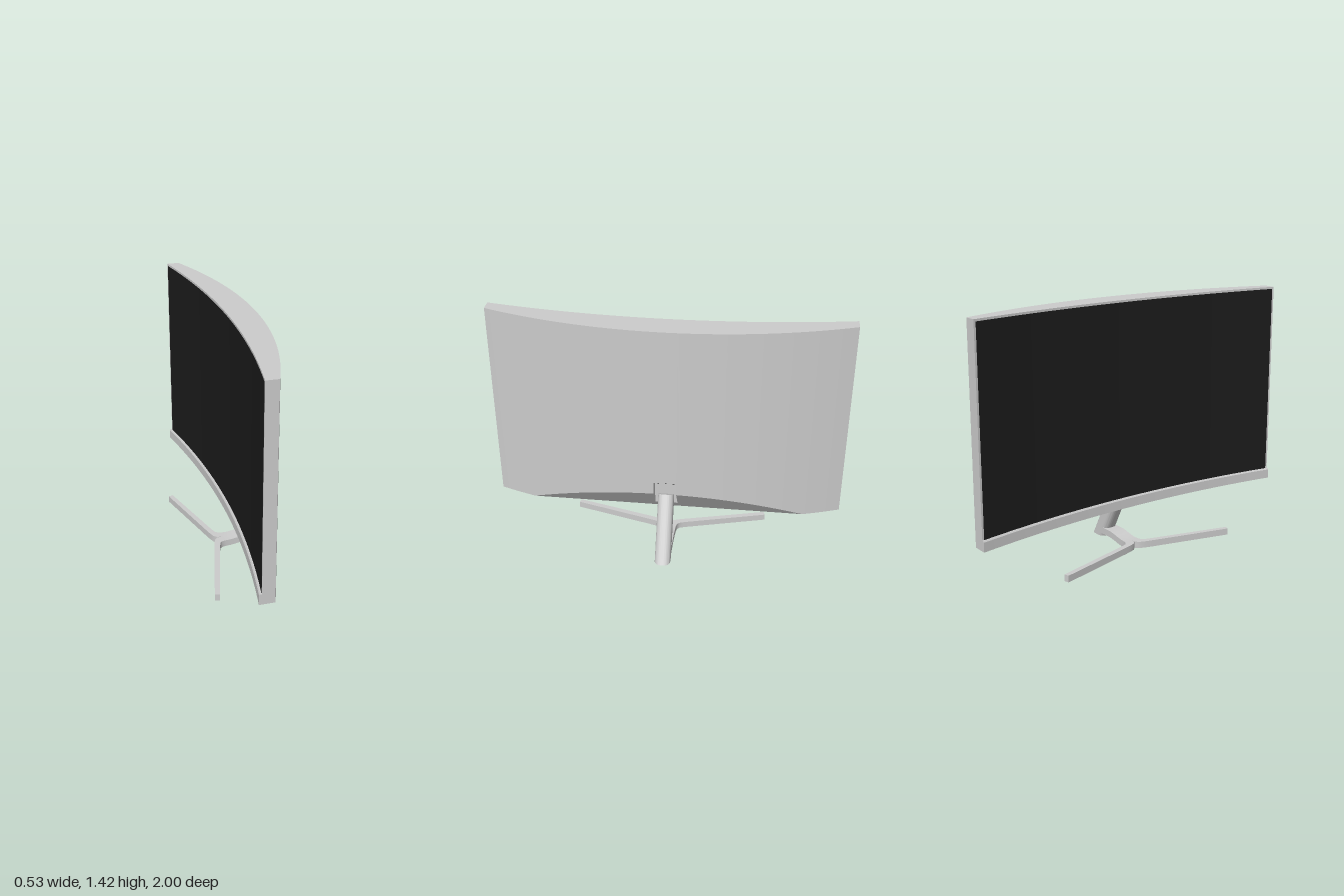
import * as THREE from 'three';
import { toCreasedNormals } from 'three/addons/utils/BufferGeometryUtils.js';

const grey = new THREE.MeshStandardMaterial({ color: 0xcccccc });
const dark = new THREE.MeshStandardMaterial({ color: 0x1c1c1c });
const black = new THREE.MeshStandardMaterial({ color: 0x000000 });

// Joins a row of equal cross-sections; smooth lengthwise, sharp between sides, closed ends.
function loft(rings, flip = false) {
  const pos = [], idx = [];
  const n = rings[0].length;
  const tri = (a, b, c) => (flip ? idx.push(a, c, b) : idx.push(a, b, c));
  for (let j = 0; j < n; j++) {
    const base = pos.length / 3;
    rings.forEach((ring) => pos.push(...ring[j], ...ring[(j + 1) % n]));
    for (let i = 0; i < rings.length - 1; i++) {
      const a = base + i * 2;
      tri(a, a + 1, a + 3);
      tri(a, a + 3, a + 2);
    }
  }
  [rings[0], rings[rings.length - 1]].forEach((ring, end) => {
    const base = pos.length / 3;
    ring.forEach((p) => pos.push(...p));
    for (let k = 1; k < n - 1; k++) {
      if (end) tri(base, base + k, base + k + 1);
      else tri(base, base + k + 1, base + k);
    }
  });
  const g = new THREE.BufferGeometry();
  g.setAttribute('position', new THREE.Float32BufferAttribute(pos, 3));
  g.setIndex(idx);
  g.computeVertexNormals();
  return g;
}

// Sweeps a profile of [x, y] points, which may vary with z, from z0 to z1.
function sweepZ(profile, z0, z1, steps) {
  const rings = [];
  for (let i = 0; i <= steps; i++) {
    const z = z0 + ((z1 - z0) * i) / steps;
    rings.push(profile(z).map(([x, y]) => [x, y, z]));
  }
  return loft(rings);
}

// Arc in plan: x at depth z for a given centre x and sagitta at z = 1
const arc = (x0, sag) => (z) => {
  const r = (1 + sag * sag) / (2 * sag);
  return x0 - r + Math.sqrt(r * r - z * z);
};
const frontX = arc(-0.05, 0.09);
const backX = arc(0.11, 0.18);
const BOTTOM = 0.24, TOP = 1.42, NOTCH = 0.065;

// Housing section with the sloping cut at the lower back
function housingProfile(z) {
  const f = frontX(z), b = backX(z);
  const cut = BOTTOM + Math.max(0, b) * 1.41;
  return [[f, BOTTOM], [Math.min(0, b), BOTTOM], [b, cut], [b, TOP], [f, TOP]];
}

// Housing section through the notch that receives the stand
function notchProfile(z) {
  const f = frontX(z), b = backX(z);
  return [[f, BOTTOM], [0, BOTTOM], [0.03, 0.282], [0.03, 0.47], [b, 0.47], [b, TOP], [f, TOP]];
}

function bezelProfile(z) {
  const f = frontX(z);
  return [[f - 0.015, BOTTOM], [f + 0.005, BOTTOM], [f + 0.005, 0.3], [f - 0.01, 0.3], [f - 0.015, 0.293]];
}

function screenProfile(z) {
  const f = frontX(z);
  return [[f - 0.002, 0.3], [f + 0.003, 0.3], [f + 0.003, 1.408], [f - 0.002, 1.408]];
}

// Leaning column with a rounded section, flat foot and slanted top
function columnGeometry() {
  const a = 0.055, b = 0.045, r = 0.036;
  const s = new THREE.Shape();
  s.absarc(a - r, b - r, r, 0, Math.PI / 2);
  s.absarc(r - a, b - r, r, Math.PI / 2, Math.PI);
  s.absarc(r - a, r - b, r, Math.PI, Math.PI * 1.5);
  s.absarc(a - r, r - b, r, Math.PI * 1.5, Math.PI * 2);
  const g = new THREE.ExtrudeGeometry(s, { depth: 1, bevelEnabled: false, curveSegments: 8 });
  g.rotateX(-Math.PI / 2);
  const p = g.attributes.position;
  for (let i = 0; i < p.count; i++) {
    const x = p.getX(i);
    const y = p.getY(i) * (0.365 - (a - x) * 0.42);
    p.setXYZ(i, 0.21 + x - 0.53 * y, y, p.getZ(i));
  }
  return toCreasedNormals(g, 0.6);
}

// One half of the forked foot: inner and outer edges in plan, [x, z]
function footGeometry(side) {
  const inner = [[0.19, 0], [0.1, 0], [0.07, 0], [0.04, 0], [0.01, 0], [-0.03, 0], [-0.07, 0],
    [-0.1, 0.004], [-0.117, 0.02], [-0.13, 0.055], [-0.14, 0.09], [-0.265, 0.567]];
  const outer = [[0.19, 0.045], [0.1, 0.045], [0.07, 0.045], [0.04, 0.045], [0.01, 0.045], [-0.03, 0.045],
    [-0.06, 0.047], [-0.083, 0.052], [-0.097, 0.065], [-0.106, 0.09], [-0.116, 0.125], [-0.238, 0.575]];
  const lift = (x) => 0.02 * THREE.MathUtils.smoothstep(x, -0.05, 0.09);
  const rings = inner.map(([xi, zi], i) => {
    const [xo, zo] = outer[i];
    const yi = lift(xi), yo = lift(xo), h = 0.038;
    return [[xi, yi, zi * side], [xo, yo, zo * side], [xo, yo + h, zo * side], [xi, yi + h, zi * side]];
  });
  return loft(rings, side < 0);
}

export function createModel() {
  const model = new THREE.Group();
  model.name = 'curvedMonitor';
  const add = (parent, name, geometry, material = grey) => {
    const mesh = new THREE.Mesh(geometry, material);
    mesh.name = name;
    parent.add(mesh);
    return mesh;
  };

  // Display
  const display = new THREE.Group();
  display.name = 'display';
  model.add(display);
  add(display, 'housingRight', sweepZ(housingProfile, -1, -NOTCH, 40));
  add(display, 'housingCentre', sweepZ(notchProfile, -NOTCH, NOTCH, 6));
  add(display, 'housingLeft', sweepZ(housingProfile, NOTCH, 1, 40));
  add(display, 'lowerBezel', sweepZ(bezelProfile, -1, 1, 64));
  add(display, 'screen', sweepZ(screenProfile, -0.988, 0.988, 64), dark);
  add(display, 'notchCeiling', new THREE.BoxGeometry(0.078, 0.002, NOTCH * 2), black)
    .position.set(0.069, 0.469, 0);

  // Stand
  const stand = new THREE.Group();
  stand.name = 'stand';
  model.add(stand);
  add(stand, 'column', columnGeometry());
  add(stand, 'footLeft', footGeometry(1));
  add(stand, 'footRight', footGeometry(-1));

  return model;
}
